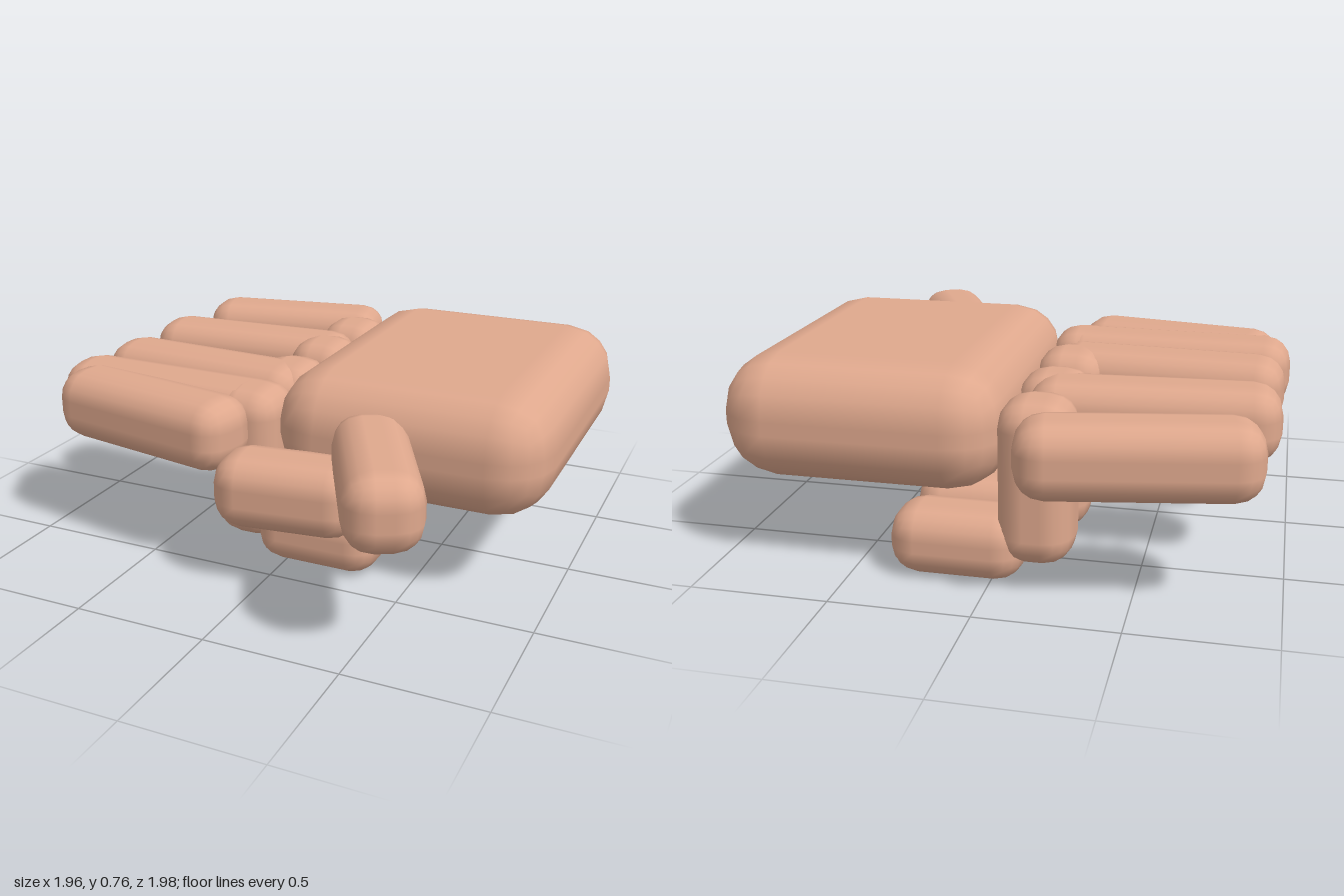
import * as THREE from 'three';
import { RoundedBoxGeometry } from 'three/addons/geometries/RoundedBoxGeometry.js';

const skin = new THREE.MeshStandardMaterial({ color: 0xdfa88d });
skin.name = 'skin';

export function createModel() {
  const hand = new THREE.Group();
  hand.name = 'hand';

  // Rounded block: size, centre, and turn about the vertical in degrees
  function block(name, size, centre, turn = 0, radius = 0.105) {
    const mesh = new THREE.Mesh(new RoundedBoxGeometry(...size, 2, radius), skin);
    mesh.name = name;
    mesh.position.set(...centre);
    mesh.rotation.y = THREE.MathUtils.degToRad(turn);
    hand.add(mesh);
  }

  block('palm', [1.03, 0.45, 1.28], [0.465, 0.533, -0.19], 0, 0.2);

  // Outstretched fingers, fanned: [z, length, turn]
  const fan = [
    [-0.815, 0.81, 10.3],
    [-0.395, 0.89, 3.5],
    [0.01, 0.89, -3.5],
    [0.283, 0.925, -1],
    [0.44, 0.81, -10.3],
  ];
  fan.forEach(([z, length, turn], i) =>
    block(`straightFinger${i + 1}`, [length, 0.27, 0.27], [-0.515, 0.532, z], turn));

  // Curled fingers: a hanging segment and a tip folded under the palm
  [-0.66, -0.343, -0.025, 0.295].forEach((z, i) => {
    block(`curledFinger${i + 1}`, [0.27, 0.59, 0.27], [-0.155, 0.373, z]);
    block(`curledTip${i + 1}`, [0.485, 0.252, 0.27], [0.125, 0.126, z]);
  });

  // Thumb
  block('thumbBase', [0.68, 0.275, 0.27], [0.48, 0.532, 0.655], -63);
  block('thumbTip', [0.535, 0.275, 0.27], [0.1, 0.372, 0.53], 7);

  return hand;
}
